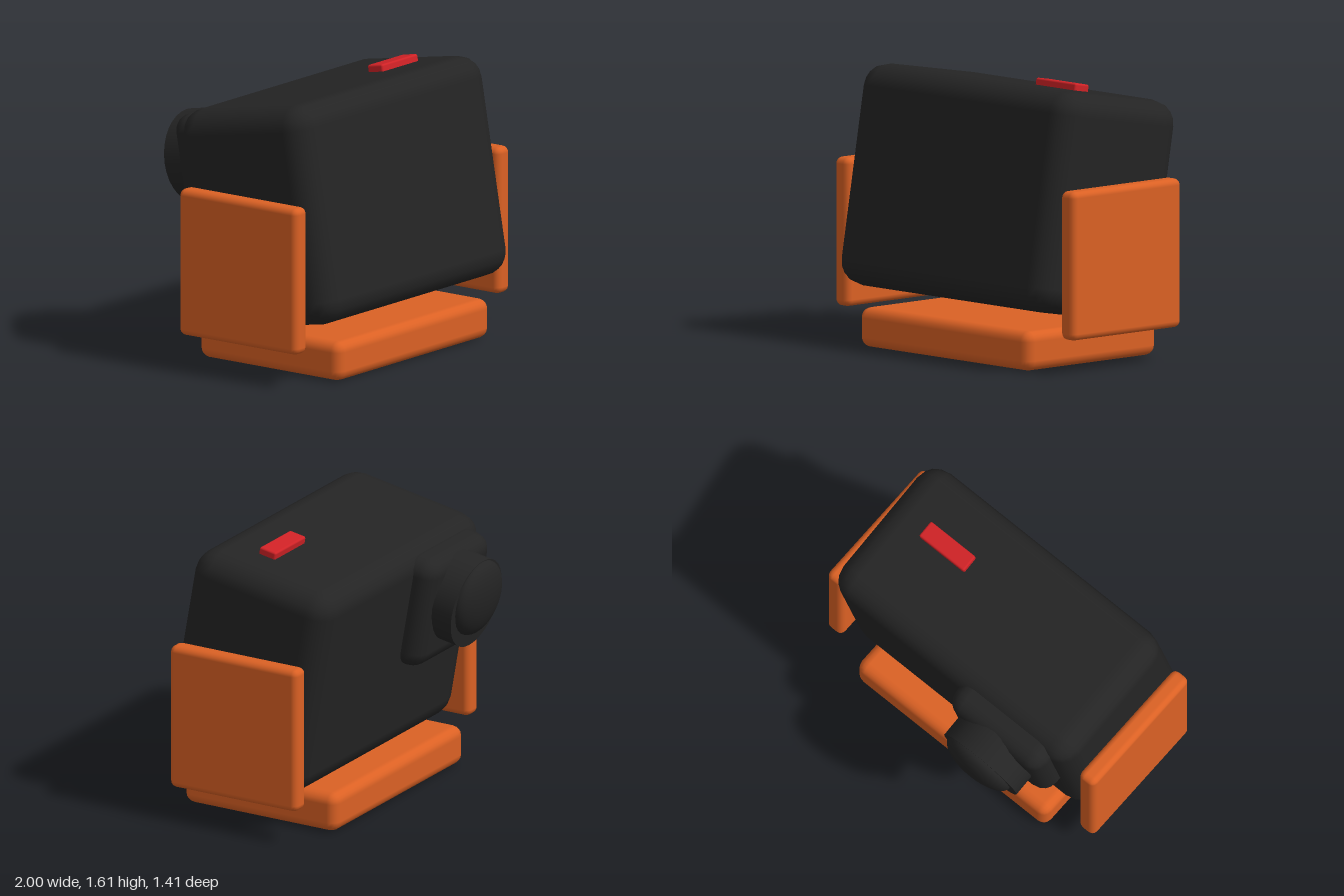
import * as THREE from 'three';
import { RoundedBoxGeometry } from 'three/addons/geometries/RoundedBoxGeometry.js';

const material = (name, color) => {
  const m = new THREE.MeshStandardMaterial({ color });
  m.name = name;
  return m;
};

export function createModel() {
  const black = material('black', 0x242424);
  const orange = material('orange', 0xdb6124);
  const red = material('red', 0xd02226);

  const model = new THREE.Group();
  model.name = 'cameraOnStand';

  const add = (parent, name, geometry, mat, x, y, z) => {
    const mesh = new THREE.Mesh(geometry, mat);
    mesh.name = name;
    mesh.position.set(x, y, z);
    parent.add(mesh);
    return mesh;
  };
  const box = (w, h, d, r) => new RoundedBoxGeometry(w, h, d, 2, r);

  // Stand: a base slab and two upright side plates
  add(model, 'base', box(1.42, 0.23, 1.025, 0.06), orange, 0, 0.115, 0.158);
  for (const side of [-1, 1]) {
    add(model, side > 0 ? 'leftSidePlate' : 'rightSidePlate',
      box(0.115, 0.86, 0.855, 0.038), orange, side * 0.9425, 0.63, 0.157);
  }

  // Camera, leaning back by ten degrees
  const camera = new THREE.Group();
  camera.name = 'camera';
  camera.rotation.x = -THREE.MathUtils.degToRad(10);
  model.add(camera);

  add(camera, 'body', box(1.77, 1.278, 0.935, 0.14), black, 0, 0.874, 0.3175);
  add(camera, 'shutterButton', box(0.335, 0.06, 0.11, 0.012), red, 0.453, 1.524, 0.43);

  // Lens on the back: square mount, barrel and shallow glass dome
  add(camera, 'lensMount', box(0.685, 0.68, 0.24, 0.1), black, -0.432, 1.133, -0.152);

  const barrel = new THREE.CylinderGeometry(0.268, 0.268, 0.2, 32).rotateX(Math.PI / 2);
  add(camera, 'lensBarrel', barrel, black, -0.432, 1.188, -0.298);

  const dome = new THREE.SphereGeometry(0.227, 32, 10, 0, Math.PI * 2, 0, Math.PI / 2)
    .scale(1, 0.4, 1).rotateX(-Math.PI / 2);
  add(camera, 'lensGlass', dome, black, -0.428, 1.225, -0.398);

  return model;
}
